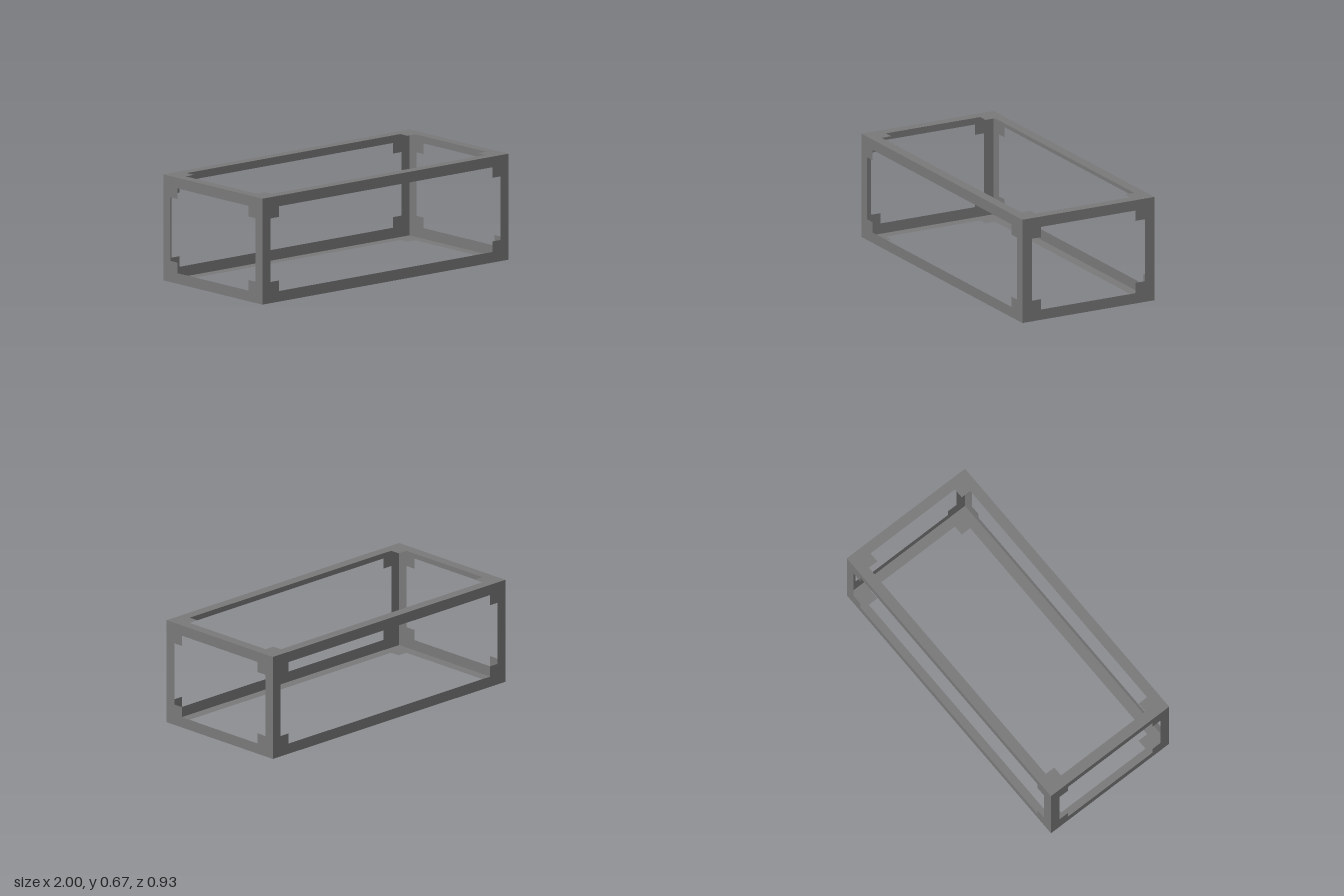
import * as THREE from 'three';

const U = 1 / 15; // bar width; the frame measures 30 x 10 x 14 of these

// Flat rectangular frame with a square gusset in each inner corner, centred on the origin
function framePanel(w, h) {
  const shape = new THREE.Shape();
  const x = w / 2, y = h / 2;
  shape.moveTo(-x, -y).lineTo(x, -y).lineTo(x, y).lineTo(-x, y).closePath();

  // stepped opening
  const a = x - U, b = y - U, c = x - 2 * U, d = y - 2 * U;
  const hole = new THREE.Path();
  hole.setFromPoints([
    [-c, -b], [-c, -d], [-a, -d], [-a, d], [-c, d], [-c, b],
    [c, b], [c, d], [a, d], [a, -d], [c, -d], [c, -b],
  ].map(([px, py]) => new THREE.Vector2(px, py)));
  hole.closePath();
  shape.holes.push(hole);
  return new THREE.ShapeGeometry(shape);
}

export function createModel() {
  const model = new THREE.Group();
  model.name = 'boxFrame';
  const W = 30 * U, H = 10 * U, D = 14 * U;
  const grey = new THREE.MeshStandardMaterial({ color: 0x7a7a7a, side: THREE.DoubleSide });
  grey.name = 'frameGrey';

  // Each panel is turned to face outward, then pushed out to its side of the box
  const addPanel = (name, w, h, depth, rx, ry) => {
    const mesh = new THREE.Mesh(framePanel(w, h), grey);
    mesh.name = name;
    mesh.rotation.set(rx, ry, 0);
    mesh.position.set(0, H / 2, 0);
    mesh.translateZ(depth / 2);
    model.add(mesh);
  };

  const q = Math.PI / 2;
  addPanel('frontFrame', W, H, D, 0, 0);
  addPanel('backFrame', W, H, D, 0, Math.PI);
  addPanel('leftFrame', D, H, W, 0, q);
  addPanel('rightFrame', D, H, W, 0, -q);
  addPanel('topFrame', W, D, H, -q, 0);
  addPanel('bottomFrame', W, D, H, q, 0);
  return model;
}
